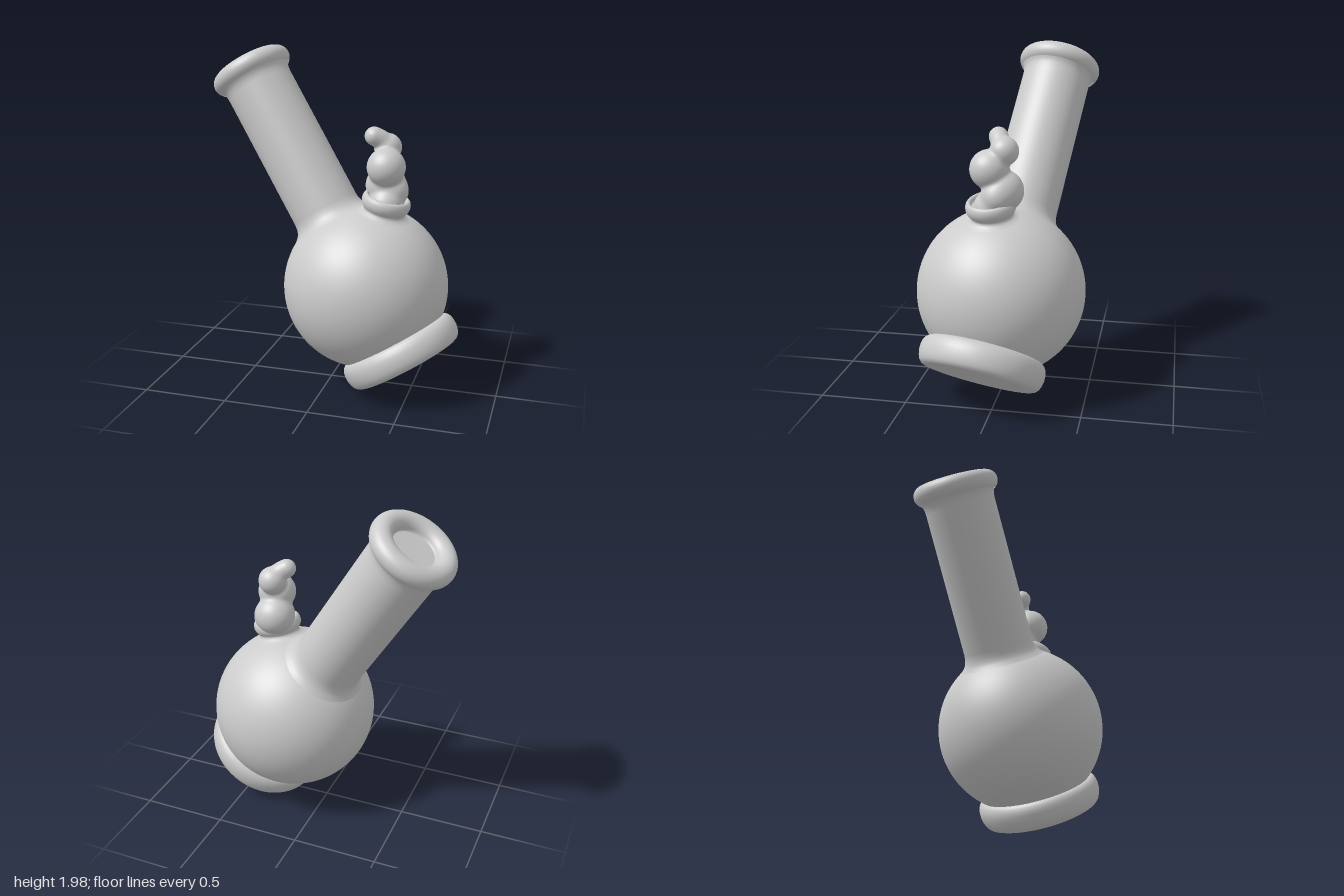
import * as THREE from 'three';

const material = new THREE.MeshStandardMaterial({ color: 0xcccccc, side: THREE.DoubleSide });
const CENTRE = new THREE.Vector3(0.21, 0.62, 0);
const RADIUS = 0.482;

// Surface of revolution: profile pairs are [radius, distance along the axis from the chamber centre].
function turned(name, profile, axis) {
  const points = profile.map(([r, t]) => new THREE.Vector2(r, t));
  const mesh = new THREE.Mesh(new THREE.LatheGeometry(points, 72), material);
  mesh.name = name;
  mesh.position.copy(CENTRE);
  mesh.quaternion.setFromUnitVectors(new THREE.Vector3(0, 1, 0), axis.clone().normalize());
  return mesh;
}

// Arc of profile points between two angles in degrees.
function arc(cr, ct, radius, from, to, steps) {
  return Array.from({ length: steps + 1 }, (_, i) => {
    const a = THREE.MathUtils.degToRad(from + ((to - from) * i) / steps);
    return [Math.max(0, cr + radius * Math.cos(a)), ct + radius * Math.sin(a)];
  });
}

// Puffs of smoke: [x, y, z, radius], from the bowl upwards.
const PUFFS = [
  [0.33, 1.13, 0.03, 0.1],
  [0.315, 1.225, -0.03, 0.117],
  [0.36, 1.2, -0.01, 0.09],
  [0.33, 1.345, 0.04, 0.11],
  [0.32, 1.445, -0.04, 0.08],
  [0.285, 1.495, -0.01, 0.052],
  [0.25, 1.512, 0.005, 0.054],
];
const SPINE = [[1.05, 0.33, 0.03], [1.225, 0.32, -0.01], [1.345, 0.33, 0.03],
  [1.445, 0.315, -0.03], [1.5, 0.28, -0.01], [1.57, 0.25, 0.005]];

// Distance to the puffs, softly blended where they meet.
function smokeDistance(x, y, z) {
  const k = 0.018;
  return PUFFS.reduce((d, [px, py, pz, r]) => {
    const e = Math.hypot(x - px, y - py, z - pz) - r;
    const h = Math.max(k - Math.abs(d - e), 0) / k;
    return Math.min(d, e) - h * h * k * 0.25;
  }, 10);
}

function spineAt(y) {
  const i = Math.max(1, SPINE.findIndex((p) => p[0] >= y));
  const [a, b] = [SPINE[i - 1], SPINE[i]];
  const f = (y - a[0]) / (b[0] - a[0]);
  return [a[1] + (b[1] - a[1]) * f, a[2] + (b[2] - a[2]) * f];
}

// Level loops around the spine, each pushed out to the blended surface.
function smokeGeometry() {
  const rings = 96, sides = 48, positions = [], index = [];
  for (let j = 0; j <= rings; j++) {
    const y = 1.07 + 0.496 * Math.sin((j / rings) * Math.PI / 2);
    const [cx, cz] = spineAt(y);
    for (let i = 0; i < sides; i++) {
      const a = (i / sides) * Math.PI * 2, dx = Math.cos(a), dz = Math.sin(a);
      let r = 0;
      for (let n = 0; n < 60; n++) {
        const d = smokeDistance(cx + dx * r, y, cz + dz * r);
        if (d > -0.0003) break;
        r -= d;
      }
      positions.push(cx + dx * r, y, cz + dz * r);
      if (j < rings) {
        const p = j * sides + i, q = j * sides + ((i + 1) % sides);
        index.push(p, p + sides, q, q, p + sides, q + sides);
      }
    }
  }
  const geometry = new THREE.BufferGeometry();
  geometry.setAttribute('position', new THREE.Float32BufferAttribute(positions, 3));
  geometry.setIndex(index);
  geometry.computeVertexNormals();
  return geometry;
}

export function createModel() {
  const group = new THREE.Group();
  group.name = 'waterPipe';
  const mainAxis = new THREE.Vector3(-0.533, 0.833, -0.15);
  const bowlAxis = new THREE.Vector3(0.11, 0.47, 0.03);

  // Round chamber
  group.add(turned('chamber', arc(0, 0, RADIUS, -90, 90, 48), mainAxis));

  // Flat foot with a rounded edge
  group.add(turned('foot', [
    [0, -0.52], [0.3, -0.52], [0.315, -0.519], [0.332, -0.512], [0.345, -0.498], [0.355, -0.475],
    [0.361, -0.445], [0.361, -0.415], [0.356, -0.392], [0.346, -0.374], [0.335, -0.364],
    [0.322, -0.358], [0.3, -0.357],
  ], mainAxis));

  // Leaning neck with a small fillet at the chamber
  group.add(turned('neck', [
    [0.26, 0.4], [0.245, 0.416], [0.228, 0.432], [0.215, 0.452], [0.207, 0.478], [0.204, 0.51],
    [0.204, 1.34], [0.206, 1.37], [0.212, 1.39], [0.222, 1.405],
  ], mainAxis));

  // Rolled mouth rim around a shallow recess
  group.add(turned('mouthRim', [
    ...arc(0.188, 1.45, 0.06, -55, 165, 28),
    [0.128, 1.45], [0.12, 1.447], [0, 1.447],
  ], mainAxis));

  // Small bowl on top of the chamber
  group.add(turned('bowl', [
    [0.165, 0.452], [0.145, 0.46], [0.128, 0.47], [0.12, 0.48], [0.12, 0.49], [0.128, 0.5],
    [0.136, 0.512], [0.141, 0.53], [0.14, 0.548], [0.135, 0.563], [0.127, 0.572], [0.118, 0.574],
    [0.11, 0.568], [0.106, 0.555], [0.104, 0.54], [0, 0.54],
  ], bowlAxis));

  // Puffs of smoke rising from the bowl
  const smoke = new THREE.Mesh(smokeGeometry(), material);
  smoke.name = 'smoke';
  group.add(smoke);

  return group;
}
